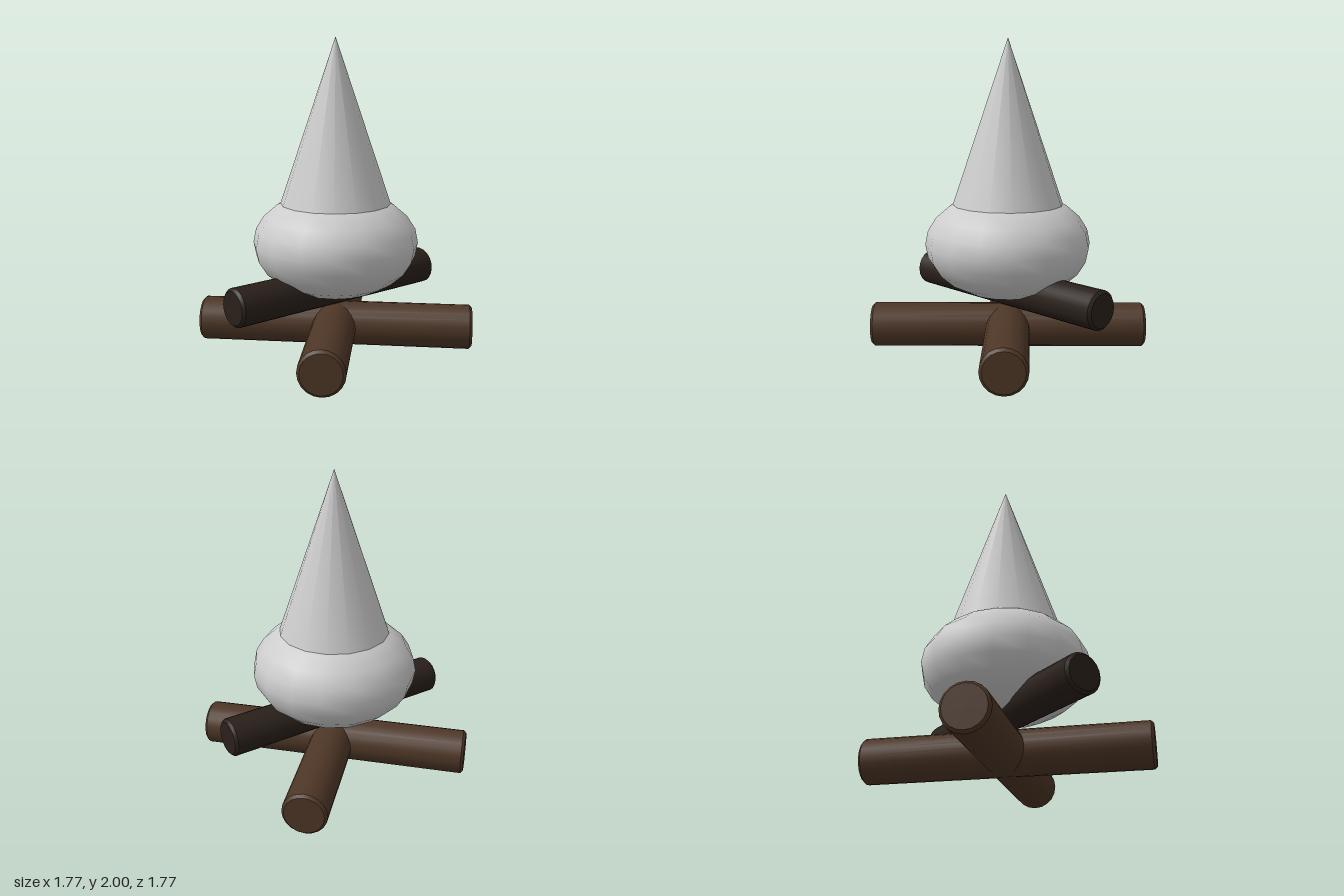
import * as THREE from 'three';
import { toCreasedNormals } from 'three/addons/utils/BufferGeometryUtils.js';

const grey = new THREE.MeshStandardMaterial({ color: 0xcccccc });
const brown = new THREE.MeshStandardMaterial({ color: 0x4d3626 });
const darkBrown = new THREE.MeshStandardMaterial({ color: 0x2a201a });

// Log lying flat, with a small chamfer round each end
function makeLog(name, radius, length, y, angle, material) {
  const h = length / 2, c = 0.017;
  const profile = [
    [0, -h], [radius - c, -h], [radius, -h + c],
    [radius, h - c], [radius - c, h], [0, h],
  ].map(([x, py]) => new THREE.Vector2(x, py));
  const log = new THREE.Mesh(toCreasedNormals(new THREE.LatheGeometry(profile, 20), 0.6), material);
  log.name = name;
  log.position.y = y;
  log.rotation.set(0, angle, -Math.PI / 2);
  return log;
}

export function createModel() {
  const model = new THREE.Group();
  model.name = 'campfire';

  // Two crossed logs on the ground and a thinner one on top
  model.add(
    makeLog('lowerLogA', 0.142, 1.78, 0.142, 0.3, brown),
    makeLog('lowerLogB', 0.142, 1.78, 0.142, -1.25, brown),
    makeLog('upperLog', 0.122, 1.59, 0.4, 1.1, darkBrown),
  );

  // Rounded lower flame
  const base = new THREE.Mesh(new THREE.SphereGeometry(0.535, 16, 12), grey);
  base.name = 'flameBase';
  base.scale.y = 0.35 / 0.535;
  base.position.y = 0.685;
  model.add(base);

  // Pointed upper flame
  const tip = new THREE.Mesh(new THREE.ConeGeometry(0.37, 1.1, 16), grey);
  tip.name = 'flameTip';
  tip.position.y = 1.45;
  model.add(tip);

  return model;
}
